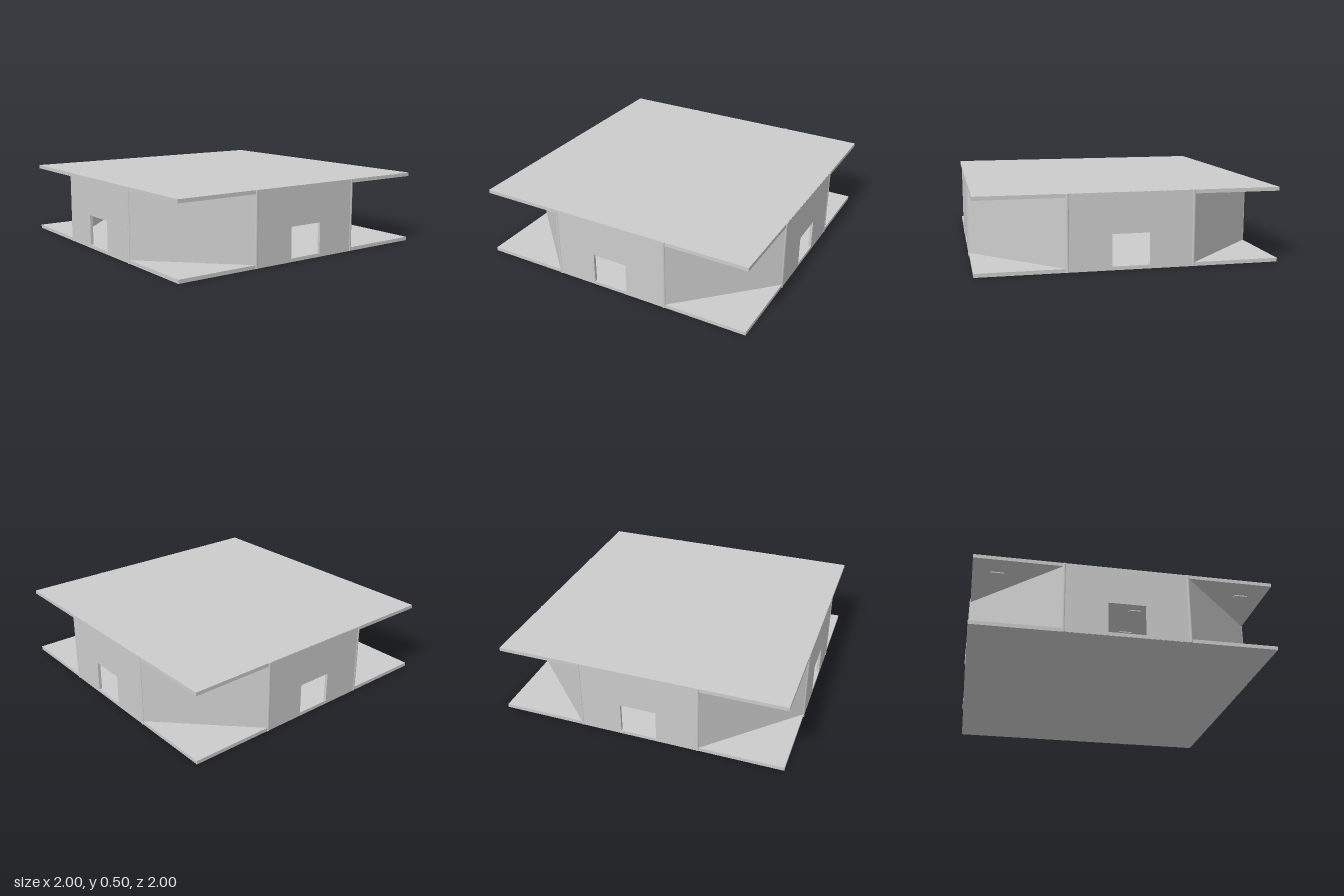
import * as THREE from 'three';

export function createModel() {
  const model = new THREE.Group();
  model.name = 'pavilion';
  const concrete = new THREE.MeshStandardMaterial({ color: 0xcccccc });
  concrete.name = 'pale grey';

  const HEIGHT = 0.5, SLAB = 0.025, EDGE = 0.994;
  const WALL = 0.02, OUTER = 0.996, POST_X = 0.411, POST_Z = 0.988;

  function add(parent, name, geometry, x, y, z) {
    const mesh = new THREE.Mesh(geometry, concrete);
    mesh.name = name;
    mesh.position.set(x, y, z);
    parent.add(mesh);
    return mesh;
  }

  // Floor and roof slabs
  const slab = new THREE.BoxGeometry(EDGE * 2, SLAB, EDGE * 2);
  add(model, 'floorSlab', slab, 0, SLAB / 2, 0);
  add(model, 'roofSlab', slab, 0, HEIGHT - SLAB / 2, 0);

  // Straight wall outline with its rectangular opening
  const wallShape = new THREE.Shape();
  wallShape.moveTo(-POST_X, 0.001).lineTo(POST_X, 0.001);
  wallShape.lineTo(POST_X, HEIGHT - 0.001).lineTo(-POST_X, HEIGHT - 0.001).closePath();
  const opening = new THREE.Path();
  opening.moveTo(-0.125, SLAB).lineTo(-0.125, 0.235);
  opening.lineTo(0.125, 0.235).lineTo(0.125, SLAB).closePath();
  wallShape.holes.push(opening);
  const wallGeometry = new THREE.ExtrudeGeometry(wallShape, { depth: WALL, bevelEnabled: false });

  // Diagonal wall running between the posts of two neighbouring sides
  const diagonalLength = (POST_Z - POST_X) * Math.SQRT2;
  const diagonalGeometry = new THREE.BoxGeometry(diagonalLength, HEIGHT - SLAB, WALL);
  const postGeometry = new THREE.CylinderGeometry(0.012, 0.012, HEIGHT, 12);

  // Four identical sides, each with a wall, two posts and a corner wall
  for (let i = 0; i < 4; i++) {
    const side = new THREE.Group();
    side.name = 'side' + (i + 1);
    side.rotation.y = i * Math.PI / 2;
    add(side, 'wallWithOpening', wallGeometry, 0, 0, OUTER - WALL);
    for (const s of [-1, 1]) add(side, 'post', postGeometry, s * POST_X, HEIGHT / 2, POST_Z);
    const mid = (POST_X + POST_Z) / 2;
    add(side, 'cornerWall', diagonalGeometry, mid, HEIGHT / 2, mid).rotation.y = Math.PI / 4;
    model.add(side);
  }

  // Grid of slim ceiling lamps
  const lampGeometry = new THREE.BoxGeometry(0.09, 0.008, 0.03);
  for (let i = 0; i < 6; i++) {
    for (let j = 0; j < 6; j++) {
      add(model, 'ceilingLamp', lampGeometry, (i - 2.5) / 3, HEIGHT - SLAB - 0.003, (j - 2.5) / 3);
    }
  }
  return model;
}
